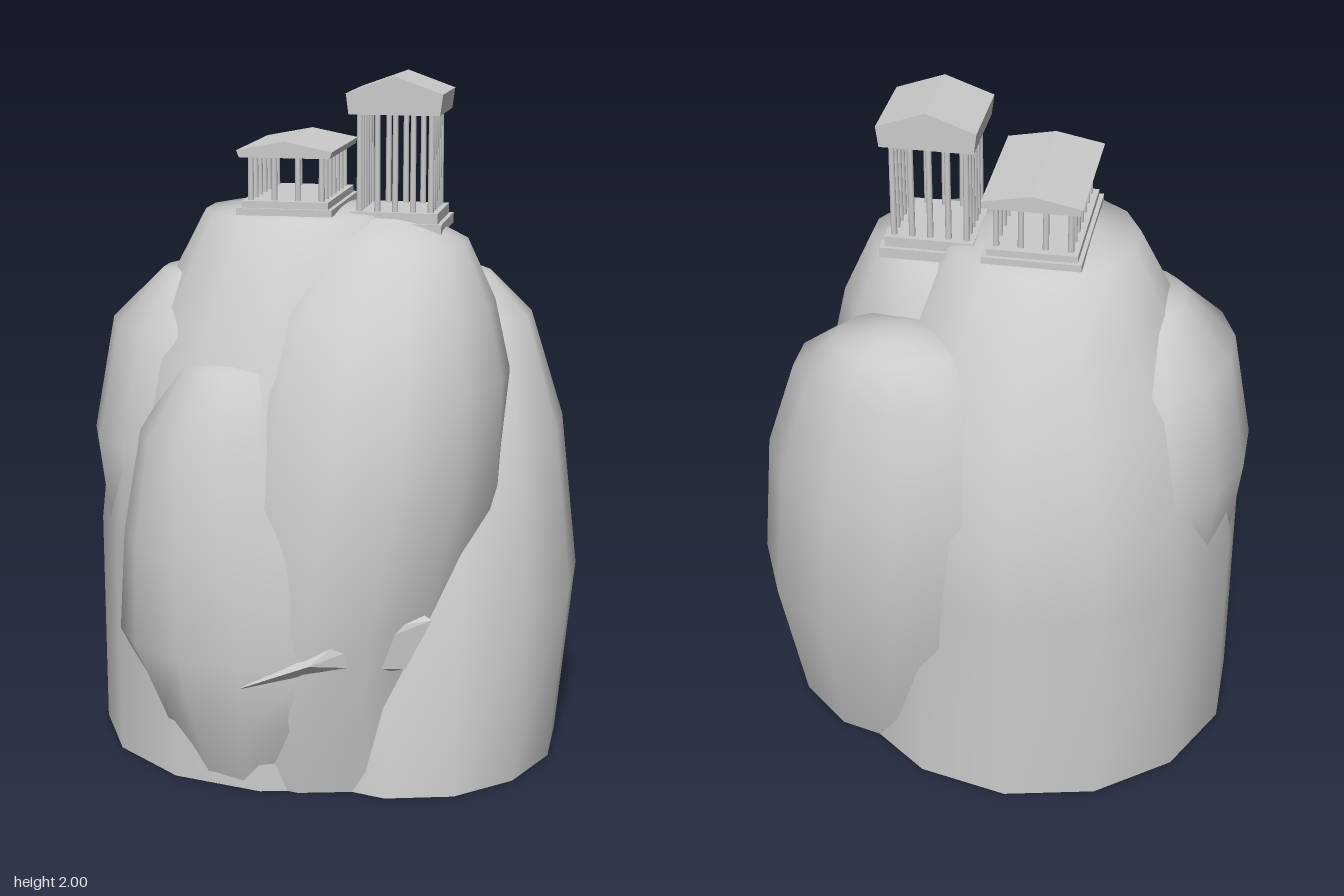
import * as THREE from 'three';
import { ConvexGeometry } from 'three/addons/geometries/ConvexGeometry.js';

const mat = new THREE.MeshStandardMaterial({ color: 0xcccccc, side: THREE.DoubleSide });

function add(parent, name, geo, x = 0, y = 0, z = 0) {
  const m = new THREE.Mesh(geo, mat);
  m.name = name;
  m.position.set(x, y, z);
  parent.add(m);
  return m;
}

// Smooth boulder, open below, lofted through elliptical rings [y, cx, cz, rx, rz]
function boulder(rings, sides = 14) {
  const pos = [], idx = [];
  for (const [y, cx, cz, rx, rz] of rings) {
    for (let i = 0; i < sides; i++) {
      const a = (i / sides) * Math.PI * 2;
      pos.push(cx + rx * Math.sin(a), y, cz + rz * Math.cos(a));
    }
  }
  for (let r = 0; r < rings.length - 1; r++) {
    for (let i = 0; i < sides; i++) {
      const a = r * sides + i, b = r * sides + (i + 1) % sides;
      idx.push(a, b, b + sides, a, b + sides, a + sides);
    }
  }
  // close the top with a single point
  const [topY, topX, topZ, topR] = rings[rings.length - 1], apex = rings.length * sides;
  pos.push(topX, topY + topR * 0.15, topZ);
  for (let i = 0; i < sides; i++) {
    idx.push(apex - sides + i, apex - sides + (i + 1) % sides, apex);
  }
  const g = new THREE.BufferGeometry();
  g.setAttribute('position', new THREE.Float32BufferAttribute(pos, 3));
  g.setIndex(idx);
  g.computeVertexNormals();
  return g;
}

// Open temple: two steps, a ring of columns, and a gabled roof running along z
function temple(name, o) {
  const t = new THREE.Group();
  t.name = name;
  t.position.set(o.x, 0, o.z);
  const stepH = (o.floor - o.base) / 2;
  for (let i = 0; i < 2; i++) {
    add(t, 'step', new THREE.BoxGeometry(o.w - i * 0.025, stepH, o.stepD - i * 0.025),
      0, o.base + stepH * (i + 0.5), 0);
  }
  const h = o.eave - o.floor;
  const shaft = new THREE.CylinderGeometry(o.r * 0.9, o.r, h, 10);
  const halfX = o.w / 2 - 0.036, halfZ = o.d / 2 - 0.03;
  for (let i = 0; i < o.nx; i++) {
    for (let j = 0; j < o.nz; j++) {
      if (i > 0 && i < o.nx - 1 && j > 0 && j < o.nz - 1) continue;
      add(t, 'column', shaft,
        -halfX + (2 * halfX * i) / (o.nx - 1), o.floor + h / 2,
        -halfZ + (2 * halfZ * j) / (o.nz - 1));
    }
  }
  const s = new THREE.Shape();
  s.moveTo(-o.w / 2 + 0.008, o.eave);
  s.lineTo(o.w / 2 - 0.008, o.eave);
  s.lineTo(o.w / 2, o.gable);
  s.lineTo(0, o.ridge);
  s.lineTo(-o.w / 2, o.gable);
  s.closePath();
  add(t, 'gabledRoof', new THREE.ExtrudeGeometry(s, { depth: o.d, bevelEnabled: false }), 0, 0, -o.d / 2);
  return t;
}

export function createModel() {
  const model = new THREE.Group();
  model.name = 'templesOnRock';

  // Rock mass of overlapping boulders
  const rock = new THREE.Group();
  rock.name = 'rock';
  model.add(rock);
  add(rock, 'mainBoulder', boulder([
    [0, -0.11, -0.04, 0.61, 0.6],
    [0.65, -0.11, -0.04, 0.61, 0.6],
    [0.9, -0.11, -0.05, 0.585, 0.585],
    [1.2, -0.11, -0.05, 0.5, 0.495],
    [1.42, -0.11, -0.05, 0.375, 0.37],
    [1.6, -0.11, -0.04, 0.28, 0.265],
    [1.615, -0.11, -0.04, 0.13, 0.13],
  ]));
  add(rock, 'backLeftBoulder', boulder([
    [0, 0.25, 0.035, 0.44, 0.505],
    [0.5, 0.23, -0.075, 0.505, 0.555],
    [0.95, 0.21, -0.17, 0.465, 0.465],
    [1.26, 0.22, -0.27, 0.345, 0.27],
    [1.38, 0.24, -0.32, 0.19, 0.15],
    [1.41, 0.24, -0.33, 0.08, 0.07],
  ]));
  add(rock, 'frontLeftBoulder', boulder([
    [0, 0, 0.09, 0.44, 0.46],
    [0.25, 0.01, 0.13, 0.41, 0.47],
    [0.5, 0.04, 0.17, 0.4, 0.45],
    [0.85, 0.09, 0.14, 0.44, 0.475],
    [1.15, 0.12, 0.09, 0.415, 0.44],
    [1.35, 0.13, 0.05, 0.355, 0.365],
    [1.53, 0.16, 0.03, 0.24, 0.22],
    [1.59, 0.14, 0, 0.13, 0.1],
  ]));
  add(rock, 'frontBoulder', boulder([
    [0, -0.16, 0.26, 0.24, 0.28],
    [0.2, -0.15, 0.28, 0.33, 0.335],
    [0.4, -0.15, 0.3, 0.43, 0.34],
    [0.7, -0.19, 0.3, 0.37, 0.335],
    [1.0, -0.23, 0.29, 0.28, 0.27],
    [1.2, -0.21, 0.27, 0.18, 0.19],
    [1.235, -0.21, 0.25, 0.08, 0.08],
  ]));
  add(rock, 'rightBoulder', boulder([
    [0.42, -0.4, -0.02, 0.2, 0.26],
    [0.6, -0.42, -0.03, 0.275, 0.37],
    [0.93, -0.42, -0.03, 0.315, 0.42],
    [1.27, -0.41, -0.03, 0.265, 0.32],
    [1.42, -0.4, -0.02, 0.12, 0.15],
  ]));

  // Jagged ledge jutting from the front
  const ledge = [
    [-0.15, 0.34, 0.635], [0.05, 0.42, 0.635], [0.37, 0.52, 0.47], [0.3, 0.55, 0.44],
    [0.15, 0.5, 0.57], [0.3, 0.38, 0.5], [0, 0.43, 0.55],
  ].map((p) => new THREE.Vector3(...p));
  add(rock, 'ledge', new ConvexGeometry(ledge));

  // Temples on the summit
  model.add(temple('lowTemple', {
    x: -0.115, z: -0.042, w: 0.28, d: 0.41, stepD: 0.43, base: 1.605, floor: 1.645,
    eave: 1.77, gable: 1.79, ridge: 1.817, nx: 4, nz: 7, r: 0.009,
  }));
  model.add(temple('tallTemple', {
    x: 0.19, z: -0.042, w: 0.28, d: 0.26, stepD: 0.27, base: 1.55, floor: 1.61,
    eave: 1.89, gable: 1.95, ridge: 2, nx: 5, nz: 6, r: 0.009,
  }));
  return model;
}
